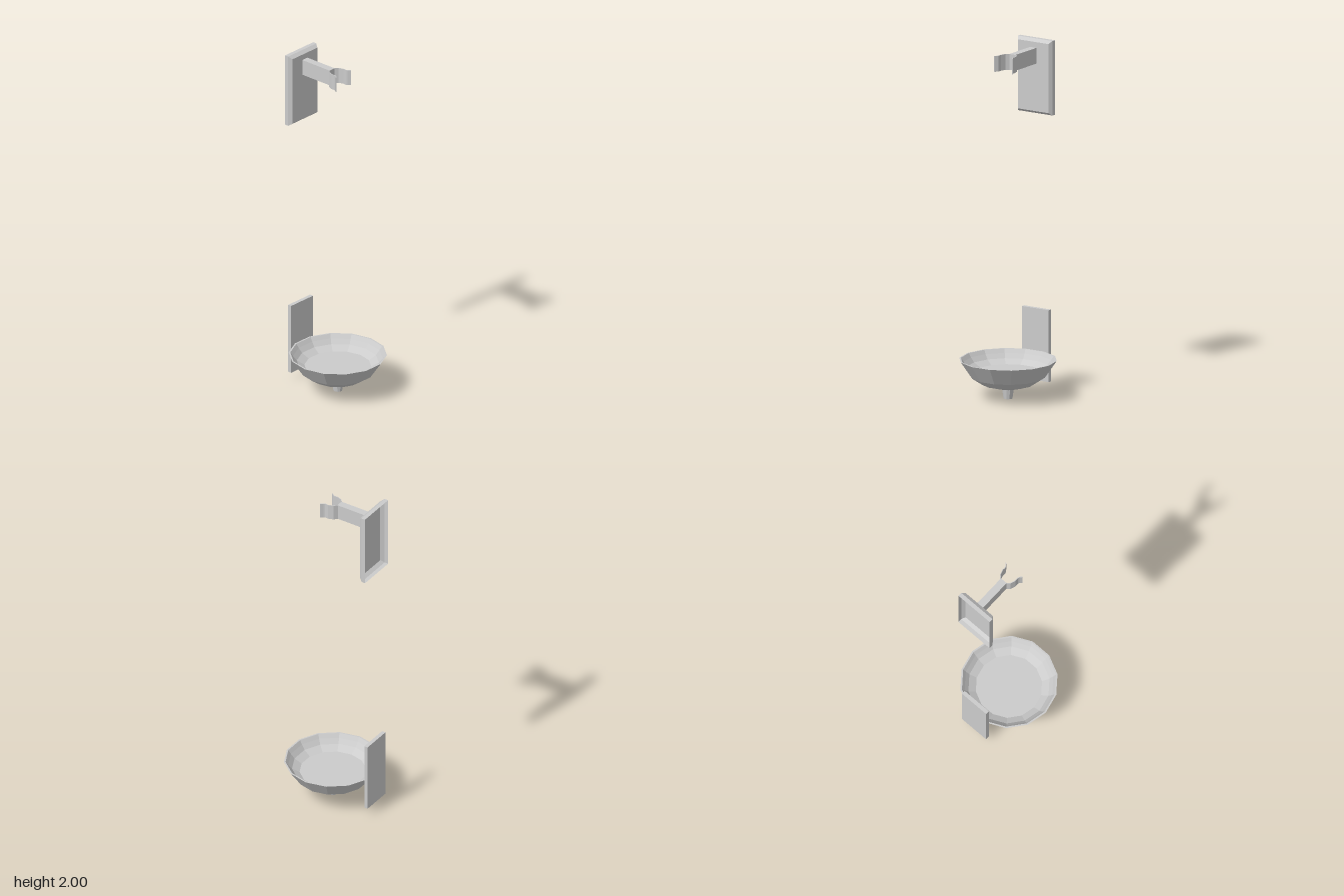
import * as THREE from 'three';

const grey = new THREE.MeshStandardMaterial({ color: 0xcccccc, flatShading: true });
const greyDouble = new THREE.MeshStandardMaterial({ color: 0xcccccc, flatShading: true, side: THREE.DoubleSide });

const v2 = ([x, y]) => new THREE.Vector2(x, y);

function add(group, name, geometry, material = grey) {
  const mesh = new THREE.Mesh(geometry, material);
  mesh.name = name;
  group.add(mesh);
  return mesh;
}

// Open-backed plate: rectangular loops from back to front, then a front face
function bevelledPlate(loops, yMid) {
  const corners = loops.map(([x, hy, hz]) => [[-1, -1], [1, -1], [1, 1], [-1, 1]].map(
    ([sy, sz]) => [x, yMid + sy * hy, sz * hz]));
  const positions = [];
  const quad = (a, b, c, d) => positions.push(...a, ...b, ...c, ...a, ...c, ...d);
  for (let i = 0; i < corners.length - 1; i++) {
    for (let j = 0; j < 4; j++) {
      const k = (j + 1) % 4;
      quad(corners[i][j], corners[i][k], corners[i + 1][k], corners[i + 1][j]);
    }
  }
  quad(...corners[corners.length - 1]);
  const geometry = new THREE.BufferGeometry();
  geometry.setAttribute('position', new THREE.Float32BufferAttribute(positions, 3));
  geometry.computeVertexNormals();
  return geometry;
}

export function createModel() {
  const model = new THREE.Group();
  model.name = 'wallBasin';

  // Faceted bowl: outside from the bottom up, over the rim, down to the floor
  const bowlProfile = [
    [0, 0.058], [0.06, 0.06], [0.145, 0.084], [0.207, 0.125], [0.273, 0.222],
    [0.264, 0.222], [0.249, 0.2], [0.228, 0.174], [0.186, 0.15], [0, 0.15],
  ];
  const bowl = add(model, 'bowl', new THREE.LatheGeometry(bowlProfile.map(v2), 14));
  bowl.position.x = 0.01;

  // Tapered drain spout, hollow at the bottom
  const drainProfile = [[0, 0.03], [0.018, 0.03], [0.018, 0], [0.025, 0], [0.034, 0.065]];
  const drain = add(model, 'drainSpout', new THREE.LatheGeometry(drainProfile.map(v2), 10));
  drain.position.x = 0.01;

  // Lower backing plate
  const lower = add(model, 'lowerPlate', new THREE.BoxGeometry(0.022, 0.41, 0.18));
  lower.position.set(-0.269, 0.256, 0);

  // Upper mounting plate with a bevelled front and hollow back
  add(model, 'upperPlate', bevelledPlate(
    [[-0.28, 0.2125, 0.116], [-0.257, 0.2125, 0.116], [-0.237, 0.197, 0.102]], 1.7875), greyDouble);

  // Arm ending in two springy prongs, one outline mirrored across z = 0
  const outer = [[-0.238, 0.021], [-0.036, 0.021], [-0.021, 0.039], [0.009, 0.0495],
    [0.03, 0.0485], [0.038, 0.052], [0.052, 0.064]];
  const inner = [[0.055, 0.06], [0.04, 0.048], [0.031, 0.0445], [0.01, 0.0455],
    [-0.019, 0.036], [-0.033, 0.02]];
  const half = [...outer, ...inner];
  const mirrored = half.map(([x, z]) => [x, -z]).reverse();
  const armGeometry = new THREE.ExtrudeGeometry(
    new THREE.Shape([...half, ...mirrored].map(v2)), { depth: 0.09, bevelEnabled: false });
  armGeometry.rotateX(Math.PI / 2);
  const arm = add(model, 'clipArm', armGeometry);
  arm.position.y = 1.952;

  return model;
}
